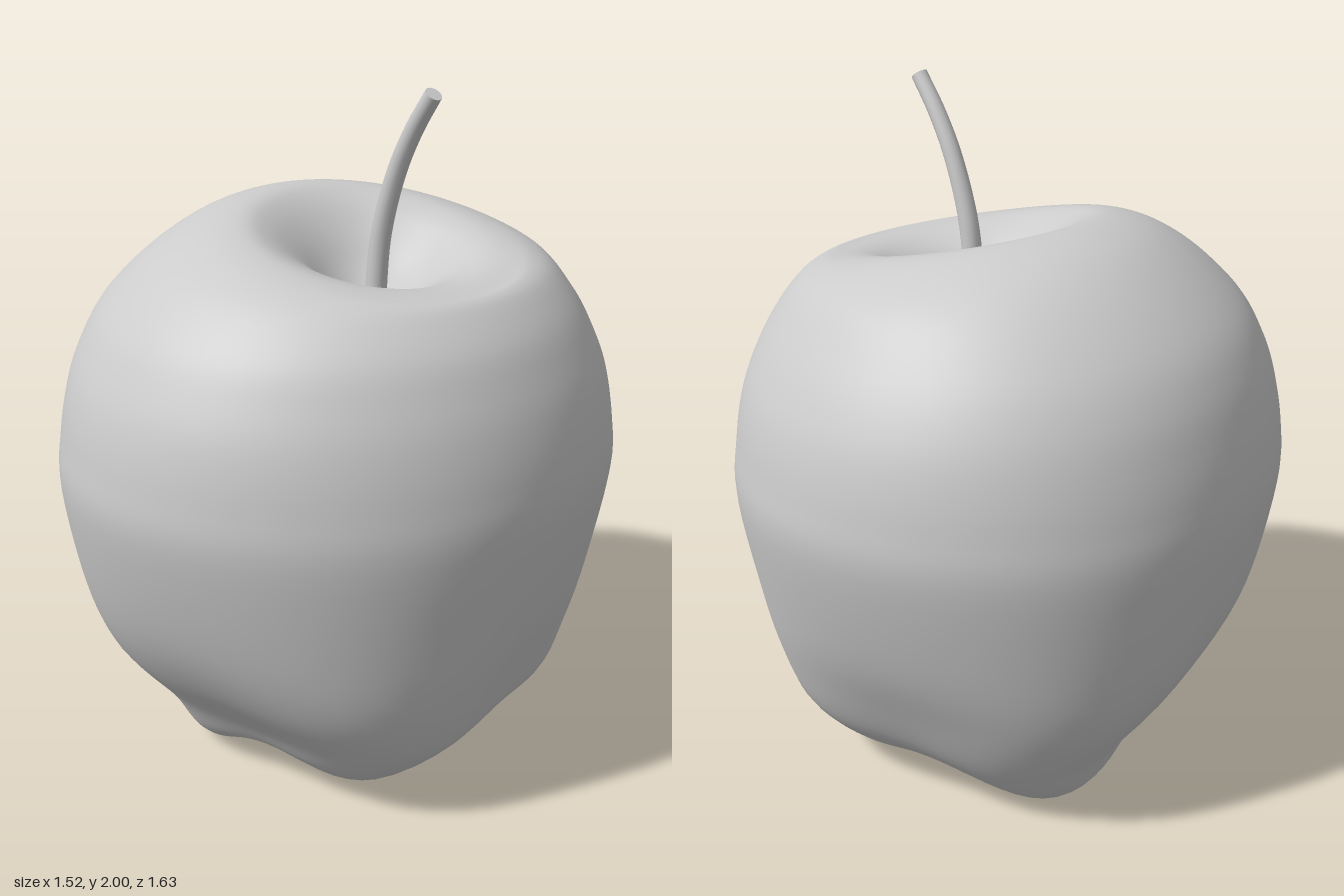
import * as THREE from 'three';
import { mergeVertices } from 'three/addons/utils/BufferGeometryUtils.js';

// Rings from the bottom pit, over the outside, into the stem dimple:
// [height, centre x, centre z, radius x, radius z, tilt along x]
const RINGS = [
  [0.20, 0, 0, 0, 0, 0],
  [0.185, 0, 0, 0.09, 0.09, 0],
  [0.125, 0, 0, 0.23, 0.23, 0.02],
  [0.065, 0.01, -0.01, 0.36, 0.36, 0.05],
  [0.10, 0.02, -0.02, 0.455, 0.455, 0.05],
  [0.22, 0.04, -0.04, 0.55, 0.555, 0.02],
  [0.40, 0.01, -0.01, 0.65, 0.67, 0],
  [0.60, 0, 0, 0.712, 0.75, 0],
  [0.90, 0, 0, 0.76, 0.815, 0],
  [1.06, 0, 0, 0.755, 0.808, 0],
  [1.20, 0, 0, 0.728, 0.78, 0],
  [1.31, 0, 0, 0.69, 0.733, -0.005],
  [1.41, 0.01, 0, 0.635, 0.67, -0.02],
  [1.51, 0.04, -0.01, 0.54, 0.575, -0.065],
  [1.565, 0.09, -0.01, 0.455, 0.47, -0.145],
  [1.58, 0.14, -0.01, 0.37, 0.37, -0.215],
  [1.565, 0.14, -0.01, 0.29, 0.29, -0.21],
  [1.515, 0.135, -0.02, 0.205, 0.21, -0.17],
  [1.44, 0.135, -0.02, 0.12, 0.125, -0.1],
  [1.395, 0.14, -0.01, 0.05, 0.05, 0],
  [1.385, 0.14, 0, 0, 0, 0],
];

// Smooth blend of the ring parameters at position s
function ringAt(s) {
  const last = RINGS.length - 1;
  const i = Math.min(Math.floor(s), last - 1);
  const t = s - i;
  const [a, b, c, d] = [-1, 0, 1, 2].map((k) => RINGS[THREE.MathUtils.clamp(i + k, 0, last)]);
  return b.map((p, k) => {
    const m0 = (c[k] - a[k]) / 2;
    const m1 = (d[k] - p) / 2;
    const e = c[k] - p;
    return p + m0 * t + (3 * e - 2 * m0 - m1) * t * t + (m0 + m1 - 2 * e) * t * t * t;
  });
}

// Soft bump around ring number centre
const bump = (s, centre, width) => Math.exp(-(((s - centre) / width) ** 2));

function fruitGeometry(steps = 5, sides = 72) {
  const positions = [];
  const index = [];
  const rows = (RINGS.length - 1) * steps;
  const lobeTurn = THREE.MathUtils.degToRad(-14);
  for (let i = 0; i <= rows; i++) {
    const s = i / steps;
    const [y, cx, cz, rx, rz, tilt] = ringAt(s);
    // lobes reach down and bulge out around the foot, fading to nothing at the pit
    const drop = -0.042 * bump(s, 3.2, 1.4) * Math.min(1, s);
    const bulge = 0.07 * bump(s, 5, 2);
    for (let j = 0; j < sides; j++) {
      const angle = (j / sides) * Math.PI * 2;
      // four lobes, one in each quadrant, turned a little off the diagonals
      const lobe = -Math.cos(4 * (angle - lobeTurn));
      const swell = 1 + bulge * lobe;
      // the front is slightly narrower than the back
      const dx = Math.cos(angle) * rx * swell * (1 - 0.035 * Math.sin(angle));
      const dz = Math.sin(angle) * rz * swell;
      positions.push(cx + dx, y + tilt * dx + drop * lobe, cz + dz);
      if (i < rows) {
        const a = i * sides + j;
        const b = i * sides + ((j + 1) % sides);
        index.push(a, a + sides, b, b, a + sides, b + sides);
      }
    }
  }
  let geometry = new THREE.BufferGeometry();
  geometry.setAttribute('position', new THREE.Float32BufferAttribute(positions, 3));
  geometry.setIndex(index);
  geometry = mergeVertices(geometry, 1e-5);
  geometry.computeBoundingBox();
  geometry.translate(0, -geometry.boundingBox.min.y, 0);
  geometry.computeVertexNormals();
  return geometry;
}

export function createModel() {
  const model = new THREE.Group();
  model.name = 'apple';
  const material = new THREE.MeshStandardMaterial({ color: 0xcccccc });

  const fruit = new THREE.Mesh(fruitGeometry(), material);
  fruit.name = 'fruit';
  model.add(fruit);

  // Curved stem, slightly thinner toward the tip
  const stem = new THREE.Group();
  stem.name = 'stem';
  const path = new THREE.CatmullRomCurve3([
    [0.158, 1.35], [0.162, 1.46], [0.18, 1.6], [0.235, 1.77], [0.295, 1.885], [0.362, 1.982],
  ].map(([x, y]) => new THREE.Vector3(x, y, 0)));
  const segments = 24;
  const sides = 14;
  const radius = 0.031;
  const tipScale = 0.75;
  const shaftGeometry = new THREE.TubeGeometry(path, segments, radius, sides);
  const position = shaftGeometry.attributes.position;
  const v = new THREE.Vector3();
  for (let i = 0; i < position.count; i++) {
    const u = Math.floor(i / (sides + 1)) / segments;
    const centre = path.getPointAt(u);
    v.fromBufferAttribute(position, i).sub(centre);
    v.multiplyScalar(1 - (1 - tipScale) * u).add(centre);
    position.setXYZ(i, v.x, v.y, v.z);
  }
  const shaft = new THREE.Mesh(shaftGeometry, material);
  shaft.name = 'stemShaft';

  // Flat cut at the end of the stem
  const tip = new THREE.Mesh(new THREE.CircleGeometry(radius * tipScale, sides), material);
  tip.name = 'stemTip';
  tip.position.copy(path.getPointAt(1));
  tip.quaternion.setFromUnitVectors(new THREE.Vector3(0, 0, 1), path.getTangentAt(1));
  stem.add(shaft, tip);
  model.add(stem);

  return model;
}
